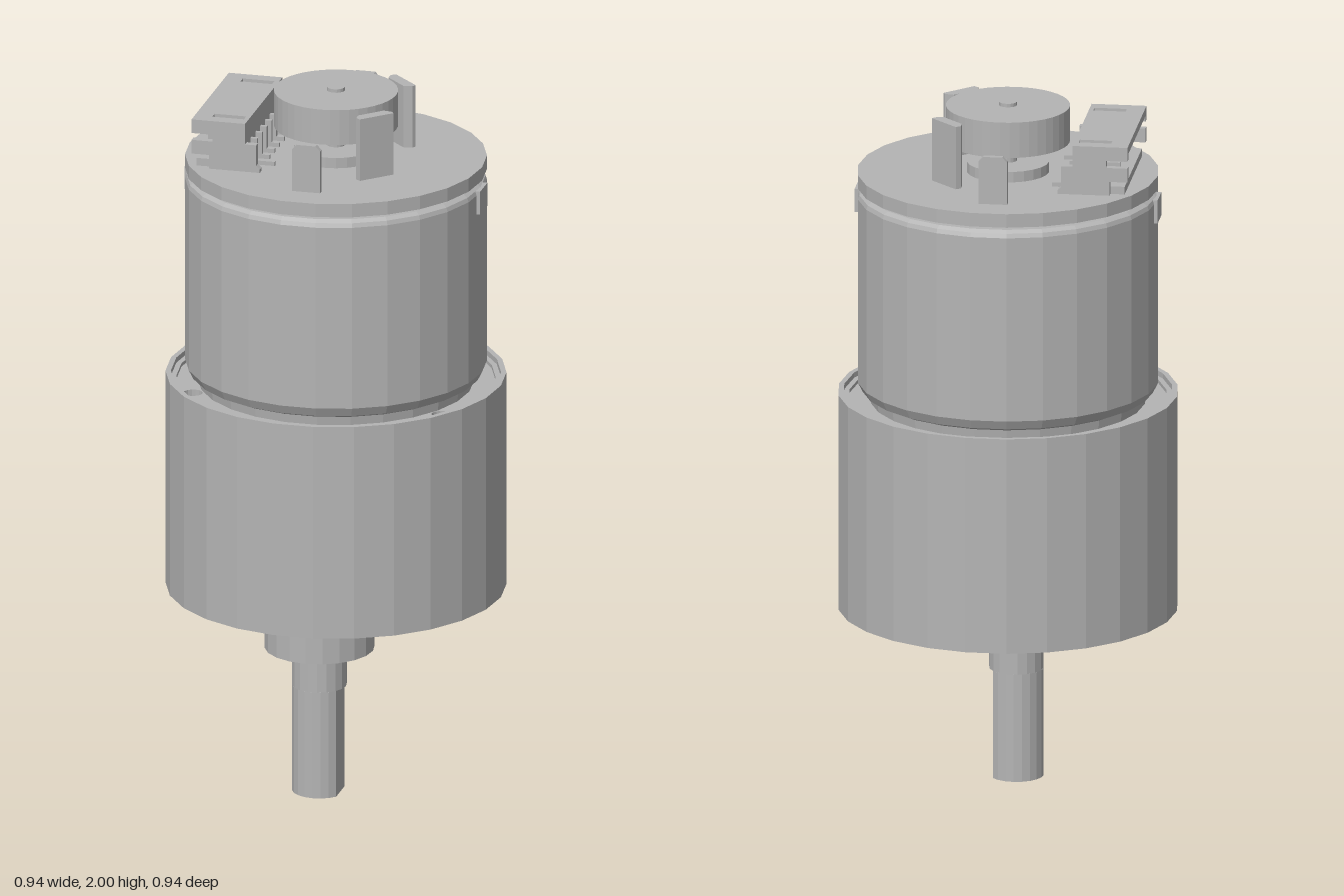
import * as THREE from 'three';

const SIDES = 26;
const grey = new THREE.MeshStandardMaterial({ color: 0xb4b4b4, flatShading: true });
grey.name = 'metal grey';

export function createModel() {
  const root = new THREE.Group();
  root.name = 'gearedMotor';

  const add = (name, geometry, x = 0, y = 0, z = 0, parent = root) => {
    const mesh = new THREE.Mesh(geometry, grey);
    mesh.name = name;
    mesh.position.set(x, y, z);
    parent.add(mesh);
    return mesh;
  };
  const box = (name, x0, x1, y0, y1, z0, z1, parent) =>
    add(name, new THREE.BoxGeometry(x1 - x0, y1 - y0, z1 - z0),
      (x0 + x1) / 2, (y0 + y1) / 2, (z0 + z1) / 2, parent);
  const cyl = (name, r, y0, y1, sides, x = 0, z = 0) => {
    const g = new THREE.CylinderGeometry(r, r, y1 - y0, sides);
    g.rotateY(Math.PI / 2);
    return add(name, g, x, (y0 + y1) / 2, z);
  };
  const lathe = (name, profile) => add(name, new THREE.LatheGeometry(
    profile.map(p => new THREE.Vector2(...p)), SIDES, Math.PI / 2));
  const polygon = pts => new THREE.Shape(pts.map(p => new THREE.Vector2(...p)));
  const disc = (r, n = SIDES) => polygon(Array.from({ length: n }, (_, i) => {
    const a = i / n * Math.PI * 2;
    return [r * Math.cos(a), r * Math.sin(a)];
  }));
  const hole = (shape, x, z, r) =>
    shape.holes.push(new THREE.Path().absarc(x, z, r, 0, Math.PI * 2, true));
  // Extrudes an x/z outline between two heights
  const slab = (name, shape, y0, y1, parent) => {
    const g = new THREE.ExtrudeGeometry(shape, { depth: y1 - y0, bevelEnabled: false, curveSegments: 8 });
    g.rotateX(Math.PI / 2);
    return add(name, g, 0, y1, 0, parent);
  };
  const around = (count, startDeg, r) => Array.from({ length: count }, (_, i) => {
    const a = THREE.MathUtils.degToRad(startDeg + i * 360 / count);
    return [r * Math.cos(a), r * Math.sin(a)];
  });

  // Gearbox housing with a rimmed, recessed top
  lathe('gearboxHousing', [[0, 0.585], [0.472, 0.585], [0.472, 1.165], [0.457, 1.165],
    [0.457, 1.15], [0.442, 1.15], [0.442, 1.115], [0, 1.115]]);
  const screwSpots = around(3, 30, 0.41);
  const floor = disc(0.442);
  screwSpots.forEach(([x, z]) => hole(floor, x, z, 0.027));
  slab('gearboxTopPlate', floor, 1.116, 1.14);

  // Mounting face with bolt holes and a crescent groove
  const face = disc(0.472);
  around(6, 0, 0.41).forEach(([x, z]) => hole(face, x, z, 0.043));
  screwSpots.forEach(([x, z]) => hole(face, x, z, 0.04));
  const offset = 0.18, big = 0.32, small = 0.24;
  const zMeet = (big ** 2 - small ** 2 + offset ** 2) / (2 * offset);
  const xMeet = Math.sqrt(big ** 2 - zMeet ** 2);
  const a0 = Math.atan2(zMeet, xMeet), b0 = Math.atan2(zMeet - offset, xMeet);
  const crescent = [];
  const N = 22;
  for (let i = 0; i <= N; i++) {
    const a = a0 - (Math.PI + 2 * a0) * i / N;
    crescent.push(new THREE.Vector2(big * Math.cos(a), big * Math.sin(a)));
  }
  for (let i = 1; i < N; i++) {
    const a = -Math.PI - b0 + (Math.PI + 2 * b0) * i / N;
    crescent.push(new THREE.Vector2(small * Math.cos(a), offset + small * Math.sin(a)));
  }
  face.holes.push(new THREE.Path(crescent));
  slab('mountingFace', face, 0.545, 0.585);

  // Cross-head screws set in the mounting face
  screwSpots.forEach(([x, z]) => {
    cyl('screwHead', 0.034, 0.56, 0.585, 12, x, z);
    box('screwCross', x - 0.024, x + 0.024, 0.555, 0.561, z - 0.005, z + 0.005);
    box('screwCross', x - 0.005, x + 0.005, 0.555, 0.561, z - 0.024, z + 0.024);
  });

  // Off-centre output boss and D-shaped shaft
  cyl('outputBoss', 0.153, 0.42, 0.55, 20, 0, offset);
  cyl('outputShaftCollar', 0.076, 0.31, 0.425, 18, 0, offset);
  const flat = Math.acos(0.06 / 0.076);
  const dShape = polygon(Array.from({ length: 17 }, (_, i) => {
    const a = flat + (Math.PI * 2 - 2 * flat) * i / 16;
    return [0.076 * Math.cos(a), 0.076 * Math.sin(a)];
  }));
  slab('outputShaft', dShape, 0, 0.31).position.z = offset;

  // Motor can with rounded ends and small side tabs
  lathe('motorCan', [[0, 1.125], [0.38, 1.125], [0.385, 1.165], [0.405, 1.174], [0.418, 1.2],
    [0.418, 1.73], [0.414, 1.742], [0.402, 1.75], [0, 1.75]]);
  for (const s of [-1, 1])
    box('canTab', s * 0.413 - 0.01, s * 0.413 + 0.01, 1.675, 1.742, -0.04, 0.04);

  // Circuit board, hub, axle and magnet wheel
  cyl('circuitBoard', 0.418, 1.761, 1.8, SIDES);
  cyl('rearHub', 0.115, 1.74, 1.83, 24);
  cyl('rearAxle', 0.025, 1.82, 2, 16);
  cyl('magnetWheel', 0.172, 1.888, 1.99, 40);

  for (const s of [-1, 1]) {
    // Motor terminal blade with clipped corners
    const blade = new THREE.ExtrudeGeometry(polygon([[-0.04, 1.75], [0.04, 1.75], [0.04, 1.922],
      [0.027, 1.936], [-0.027, 1.936], [-0.04, 1.922]]), { depth: 0.016, bevelEnabled: false });
    add('motorTerminal', blade, 0, 0, s * 0.318 - 0.008);
    // Upright sensor facing the wheel
    const outline = [[0.107, 0.187], [0.12, 0.197], [0.196, 0.122], [0.19, 0.112],
      [0.165, 0.107], [0.107, 0.165]].map(([x, z]) => [x, s * z]);
    slab('hallSensor', polygon(outline), 1.8, 1.98);
  }

  // Side-entry connector
  const plug = new THREE.Group();
  plug.name = 'connector';
  root.add(plug);
  const lid = polygon([[-0.36, -0.203], [-0.207, -0.203], [-0.207, 0.203], [-0.36, 0.203]]);
  for (const s of [-1, 1]) {
    lid.holes.push(new THREE.Path([[-0.31, 0.141], [-0.22, 0.141], [-0.22, 0.166], [-0.31, 0.166]]
      .map(([x, z]) => new THREE.Vector2(x, s * z))));
    const cheek = new THREE.ExtrudeGeometry(polygon([[-0.31, 1.8], [-0.165, 1.8], [-0.165, 1.81],
      [-0.175, 1.82], [-0.175, 1.88], [-0.207, 1.88], [-0.207, 1.93], [-0.36, 1.93], [-0.36, 1.9],
      [-0.3, 1.9], [-0.3, 1.88], [-0.36, 1.88], [-0.36, 1.84], [-0.31, 1.84]]),
    { depth: 0.02, bevelEnabled: false });
    add('connectorCheek', cheek, 0, 0, s * 0.193 - 0.01, plug);
  }
  slab('connectorLid', lid, 1.917, 1.94, plug);
  box('connectorBase', -0.35, -0.21, 1.8, 1.822, -0.185, 0.185, plug);
  box('connectorBack', -0.235, -0.209, 1.8, 1.93, -0.185, 0.185, plug);
  for (let i = 0; i < 6; i++) {
    const z = (i - 2.5) * 0.052;
    const end = i === 0 || i === 5 ? -0.14 : -0.168;
    box('contactPin', -0.33, -0.19, 1.862, 1.876, z - 0.006, z + 0.006, plug);
    box('contactLeg', -0.203, -0.19, 1.81, 1.876, z - 0.006, z + 0.006, plug);
    box('contactFoot', -0.203, end, 1.8, 1.812, z - 0.006, z + 0.006, plug);
  }
  return root;
}
